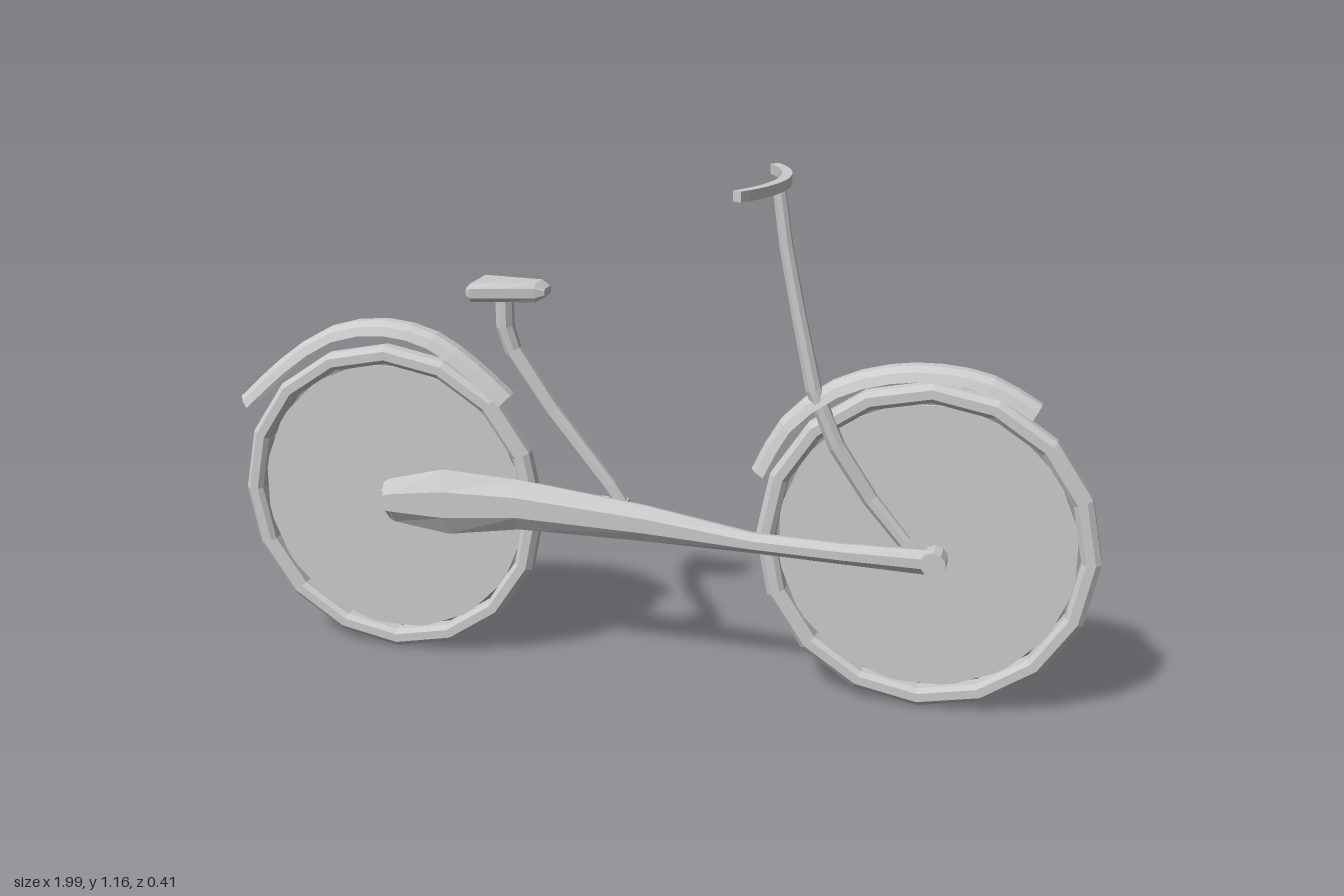
import * as THREE from 'three';

const grey = new THREE.MeshStandardMaterial({ color: 0xcccccc, flatShading: true });
const greyThin = new THREE.MeshStandardMaterial({ color: 0xcccccc, flatShading: true, side: THREE.DoubleSide });

function part(parent, name, geometry, material = grey) {
  const mesh = new THREE.Mesh(geometry, material);
  mesh.name = name;
  parent.add(mesh);
  return mesh;
}

// Sweep a cross-section along a path lying close to the xy plane.
// section(i) gives [z offset, offset to the right of travel] pairs, counter-clockwise.
function sweep(path, section, closed = true) {
  const pos = [], idx = [], zAxis = new THREE.Vector3(0, 0, 1);
  const pts = path.map(p => new THREE.Vector3(...p));
  const n = section(0).length;
  pts.forEach((p, i) => {
    const t = pts[Math.min(i + 1, pts.length - 1)].clone().sub(pts[Math.max(i - 1, 0)]).setZ(0).normalize();
    const side = t.cross(zAxis);
    for (const [u, v] of section(i)) pos.push(p.x + side.x * v, p.y + side.y * v, p.z + u);
  });
  for (let i = 0; i < pts.length - 1; i++) {
    for (let j = 0; j < (closed ? n : n - 1); j++) {
      const a = i * n + j, b = i * n + (j + 1) % n;
      idx.push(a, b, a + n, b, b + n, a + n);
    }
  }
  if (closed) {
    const e = (pts.length - 1) * n;
    for (let j = 1; j < n - 1; j++) idx.push(0, j + 1, j, e, e + j, e + j + 1);
  }
  const g = new THREE.BufferGeometry();
  g.setAttribute('position', new THREE.Float32BufferAttribute(pos, 3));
  g.setIndex(idx);
  const flat = g.toNonIndexed();
  flat.computeVertexNormals();
  return flat;
}

// Faceted bar; each point is [x, y, z, radius]
function bar(points, sides = 8) {
  return sweep(points, i => Array.from({ length: sides }, (_, k) => {
    const a = (k + 0.5) / sides * Math.PI * 2;
    return [Math.cos(a) * points[i][3], Math.sin(a) * points[i][3]];
  }));
}

// Tyre, solid disc and hub
function wheel(name, x, hubX, hubY, hubFront) {
  const g = new THREE.Group();
  g.name = name;
  const profile = [[0.33, -0.014], [0.34, -0.023], [0.36, -0.023], [0.372, -0.012], [0.372, 0.012],
    [0.36, 0.023], [0.34, 0.023], [0.33, 0.014], [0.33, -0.014]].map(p => new THREE.Vector2(...p));
  const tyre = new THREE.LatheGeometry(profile, 16).rotateX(Math.PI / 2);
  part(g, 'tyre', tyre).position.set(x, 0.375, -0.008);
  const disc = new THREE.CylinderGeometry(0.327, 0.327, 0.006, 16).rotateY(Math.PI / 16).rotateX(Math.PI / 2);
  part(g, 'wheelDisc', disc).position.set(x, 0.375, -0.008);
  const back = -0.032;
  const hub = new THREE.CylinderGeometry(0.028, 0.028, hubFront - back, 10).rotateX(Math.PI / 2);
  part(g, 'hub', hub).position.set(hubX, hubY, (hubFront + back) / 2);
  return g;
}

// Thin arched mudguard following a crown line
function mudguard(crown) {
  const curve = new THREE.CatmullRomCurve3(crown.map(([x, y]) => new THREE.Vector3(x, y, 0.004)));
  const path = curve.getPoints(12).map(p => p.toArray());
  const section = [[0.034, 0.032], [0.026, 0.012], [0.012, 0], [-0.012, 0], [-0.026, 0.012], [-0.034, 0.032]];
  return sweep(path, () => section, false);
}

export function createModel() {
  const model = new THREE.Group();
  model.name = 'bicycle';

  model.add(wheel('rearWheel', -0.622, -0.63, 0.375, 0.018));
  model.add(wheel('frontWheel', 0.622, 0.645, 0.355, 0.045));

  part(model, 'rearMudguard', mudguard([[-0.985, 0.605], [-0.88, 0.7], [-0.75, 0.785], [-0.61, 0.81],
    [-0.49, 0.785], [-0.39, 0.72], [-0.315, 0.655]]), greyThin);
  part(model, 'frontMudguard', mudguard([[0.24, 0.53], [0.3, 0.645], [0.41, 0.738], [0.53, 0.78],
    [0.64, 0.788], [0.75, 0.77], [0.848, 0.718]]), greyThin);

  // Main beam: [x, top, bottom, z, half depth]
  const beam = [[-0.63, 0.42, 0.33, 0.01, 0.022], [-0.615, 0.43, 0.324, 0.01, 0.024],
    [-0.48, 0.465, 0.307, 0.012, 0.028], [-0.3, 0.457, 0.337, 0.018, 0.026], [0, 0.427, 0.342, 0.03, 0.02],
    [0.25, 0.388, 0.342, 0.039, 0.016], [0.45, 0.382, 0.335, 0.037, 0.015], [0.65, 0.382, 0.325, 0.027, 0.014]];
  const hex = [[1, -0.4], [1, 0.4], [0.1, 1], [-1, 0.85], [-1, -0.85], [0.1, -1]];
  part(model, 'mainBeam', sweep(
    beam.map(([x, top, bottom, z]) => [x, (top + bottom) / 2, z]),
    i => hex.map(([u, v]) => [u * beam[i][4], v * (beam[i][1] - beam[i][2]) / 2])));

  // Seat support
  part(model, 'seatBracket', new THREE.BoxGeometry(0.075, 0.072, 0.068)).position.set(-0.095, 0.373, -0.024);
  part(model, 'seatPost', bar([[-0.055, 0.375, -0.043, 0.015], [-0.1, 0.44, -0.044, 0.017], [-0.235, 0.61, -0.043, 0.018],
    [-0.325, 0.745, -0.041, 0.02], [-0.342, 0.8, -0.039, 0.021], [-0.342, 0.875, -0.037, 0.021]]));

  // Saddle, wide at the rear and rounded at its edges: [x, half width, half height, z]
  const saddle = [[-0.412, 0.05, 0.01, -0.027], [-0.4, 0.06, 0.021, -0.027], [-0.33, 0.045, 0.021, -0.031],
    [-0.26, 0.031, 0.021, -0.036], [-0.24, 0.024, 0.009, -0.037]];
  const oct = [[1, -0.5], [1, 0.5], [0.8, 1], [-0.8, 1], [-1, 0.5], [-1, -0.5], [-0.8, -1], [0.8, -1]];
  part(model, 'saddle', sweep(saddle.map(s => [s[0], 0.887, s[3]]),
    i => oct.map(([u, v]) => [u * saddle[i][1], v * saddle[i][2]])));

  // Steering column curving down to the front hub
  part(model, 'steeringColumn', bar([[0.285, 1.15, 0.01, 0.014], [0.305, 1.02, 0.012, 0.015], [0.335, 0.88, 0.015, 0.016],
    [0.372, 0.72, 0.018, 0.018], [0.425, 0.595, 0.013, 0.019], [0.5, 0.478, 0.002, 0.018], [0.578, 0.385, 0, 0.016]]));

  // Handlebar: flat bar bent backwards at both ends
  const arc = new THREE.Shape();
  arc.absarc(0, 0, 0.387, -0.56, 0.56, false);
  arc.absarc(0, 0, 0.365, 0.56, -0.56, true);
  const handlebar = new THREE.ExtrudeGeometry(arc, { depth: 0.022, bevelEnabled: false, curveSegments: 8 });
  part(model, 'handlebar', handlebar.rotateX(-Math.PI / 2)).position.set(-0.082, 1.144, 0);

  return model;
}
